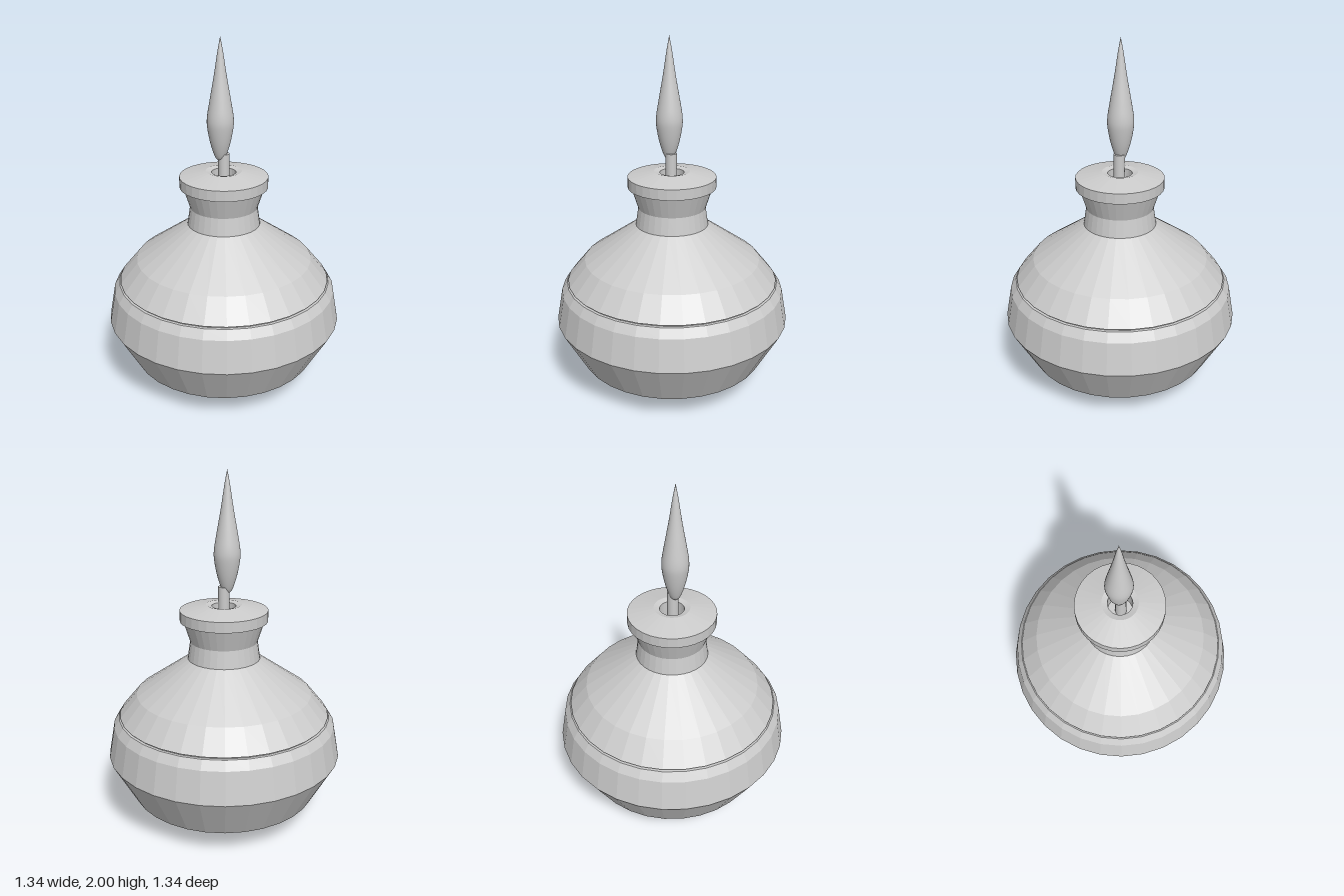
import * as THREE from 'three';

const flat = new THREE.MeshStandardMaterial({ color: 0xcccccc, flatShading: true });
const smooth = new THREE.MeshStandardMaterial({ color: 0xcccccc });

// Revolves a profile of [radius, height] pairs, listed from bottom to top of the outside
function turned(name, profile, material, sides = 32) {
  const points = profile.map(([r, y]) => new THREE.Vector2(r, y));
  const mesh = new THREE.Mesh(new THREE.LatheGeometry(points, sides), material);
  mesh.name = name;
  return mesh;
}

export function createModel() {
  const lamp = new THREE.Group();
  lamp.name = 'oilLamp';

  // Faceted bowl with a narrow groove below the shoulder
  lamp.add(turned('body', [
    [0, 0], [0.19, 0], [0.37, 0.07], [0.535, 0.15], [0.67, 0.395], [0.637, 0.575],
    [0.606, 0.624], [0.59, 0.624], [0.59, 0.634], [0.6, 0.634],
    [0.5, 0.755], [0.205, 0.96],
  ], flat));

  // Waisted neck
  lamp.add(turned('neck', [[0.205, 0.96], [0.19, 1.06], [0.228, 1.18]], flat));

  // Cap with a shallow dome and a closed wick hole
  lamp.add(turned('cap', [
    [0.228, 1.18], [0.247, 1.18], [0.247, 1.24], [0.1, 1.27],
    [0.068, 1.262], [0.068, 1.16], [0, 1.16],
  ], flat));

  // Wick
  const wick = new THREE.Mesh(new THREE.CylinderGeometry(0.031, 0.031, 0.21, 20), smooth);
  wick.name = 'wick';
  wick.position.set(0, 1.265, 0.005);
  lamp.add(wick);

  // Flame, set slightly off the axis
  const outline = new THREE.SplineCurve([
    [0, 1.333], [0.025, 1.345], [0.052, 1.42], [0.07, 1.51], [0.072, 1.57],
    [0.058, 1.66], [0.035, 1.79], [0.015, 1.92], [0, 2],
  ].map(([r, y]) => new THREE.Vector2(r, y)));
  const flamePoints = outline.getPoints(32).map((p) => [Math.max(p.x, 0), p.y]);
  const flame = turned('flame', flamePoints, smooth);
  flame.position.set(-0.019, 0, 0.006);
  lamp.add(flame);

  return lamp;
}
